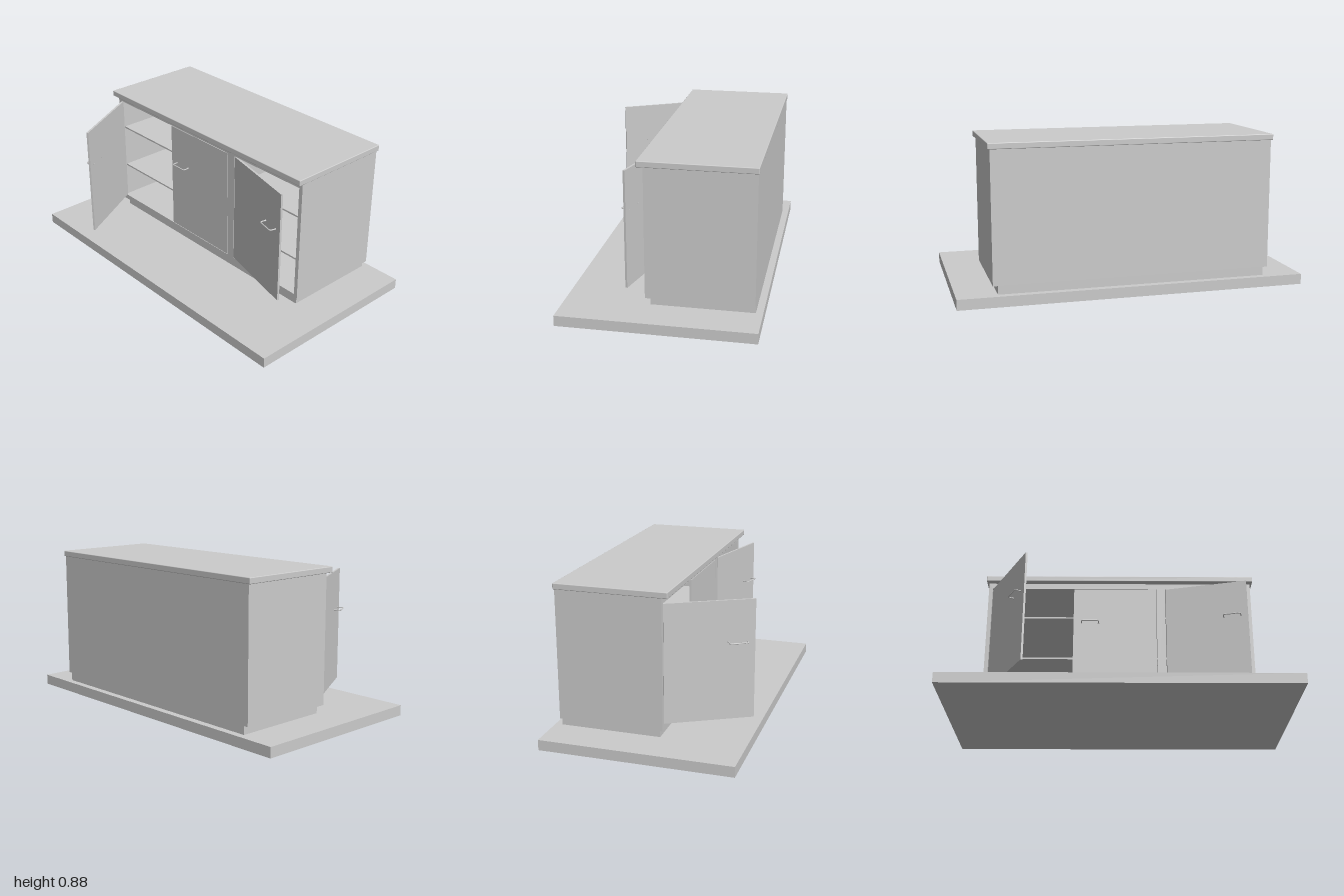
import * as THREE from 'three';
import { RoundedBoxGeometry } from 'three/addons/geometries/RoundedBoxGeometry.js';

const grey = new THREE.MeshStandardMaterial({ color: 0xcccccc });

function add(parent, name, geometry, x = 0, y = 0, z = 0) {
  const mesh = new THREE.Mesh(geometry, grey);
  mesh.name = name;
  mesh.position.set(x, y, z);
  parent.add(mesh);
  return mesh;
}

// Box given by its limits on each axis
function block(parent, name, [x0, x1], [y0, y1], [z0, z1]) {
  return add(parent, name, new THREE.BoxGeometry(x1 - x0, y1 - y0, z1 - z0),
    (x0 + x1) / 2, (y0 + y1) / 2, (z0 + z1) / 2);
}

function rectangle(Type, x0, x1, y0, y1) {
  return new Type([[x0, y0], [x1, y0], [x1, y1], [x0, y1]].map(p => new THREE.Vector2(...p)));
}

// Bow handle standing on the plane z = 0, centred on x = 0
function makeHandle(thickness) {
  const handle = new THREE.Group();
  handle.name = 'handle';
  const half = 0.051, out = 0.036, bend = 0.012;
  const v = (x, z) => new THREE.Vector3(x, 0, z);
  const path = new THREE.CurvePath();
  path.add(new THREE.LineCurve3(v(-half, 0), v(-half, out - bend)));
  path.add(new THREE.QuadraticBezierCurve3(v(-half, out - bend), v(-half, out), v(-half + bend, out)));
  path.add(new THREE.LineCurve3(v(-half + bend, out), v(half - bend, out)));
  path.add(new THREE.QuadraticBezierCurve3(v(half - bend, out), v(half, out), v(half, out - bend)));
  path.add(new THREE.LineCurve3(v(half, out - bend), v(half, 0)));
  add(handle, 'handleBar', new THREE.TubeGeometry(path, 48, 0.0035, 10));
  // Mounting collars in front and screw heads behind the door
  for (const x of [-half, half]) {
    add(handle, 'handleCollar', new THREE.CylinderGeometry(0.0055, 0.0055, 0.004, 16), x, 0, 0.002).rotation.x = Math.PI / 2;
    add(handle, 'handleScrew', new THREE.CylinderGeometry(0.0045, 0.0045, 0.002, 16), x, 0, -thickness - 0.001).rotation.x = Math.PI / 2;
  }
  return handle;
}

// Door hinged at its local origin; side +1 extends to +x, -1 to -x
function makeDoor(name, hingeX, side, width, angle) {
  const door = new THREE.Group();
  door.name = name;
  const thickness = 0.012;
  block(door, 'doorPanel', side > 0 ? [0, width] : [-width, 0], [0.142, 0.812], [-thickness, 0]);
  const handle = makeHandle(thickness);
  handle.position.set(side * 0.4, 0.582, 0);
  door.add(handle);
  door.position.set(hingeX, 0, 0.094);
  door.rotation.y = -side * angle;
  return door;
}

export function createModel() {
  const model = new THREE.Group();
  model.name = 'cabinet';

  // Floor slab and recessed plinth
  block(model, 'floorSlab', [-1, 1], [0, 0.06], [-0.545, 0.545]);
  block(model, 'plinth', [-0.773, 0.773], [0.06, 0.108], [-0.505, 0.07]);

  // Carcass with two bays open to the front
  const bays = [[-0.777, 0.225], [0.278, 0.777]];
  const back = -0.49, front = 0.094;
  const outline = rectangle(THREE.Shape, -0.8, 0.8, 0.108, 0.85);
  for (const [x0, x1] of bays) outline.holes.push(rectangle(THREE.Path, x0, x1, 0.139, 0.815));
  add(model, 'carcass', new THREE.ExtrudeGeometry(outline, { depth: front - back, bevelEnabled: false }), 0, 0, back);
  block(model, 'backPanel', [-0.8, 0.8], [0.108, 0.85], [-0.505, back]);

  // Two shelves in each bay
  for (const bay of bays) {
    for (const y of [0.35, 0.62]) block(model, 'shelf', bay, [y, y + 0.01], [back, 0.075]);
  }

  // Worktop overhanging the front
  add(model, 'worktop', new RoundedBoxGeometry(1.625, 0.034, 0.64, 3, 0.004), 0, 0.867, -0.19);

  // Doors: wide open, shut and ajar
  model.add(makeDoor('rightDoor', -0.774, 1, 0.496, 1.075));
  model.add(makeDoor('middleDoor', 0.222, -1, 0.5, 0));
  model.add(makeDoor('leftDoor', 0.281, 1, 0.493, 0.24));

  return model;
}
